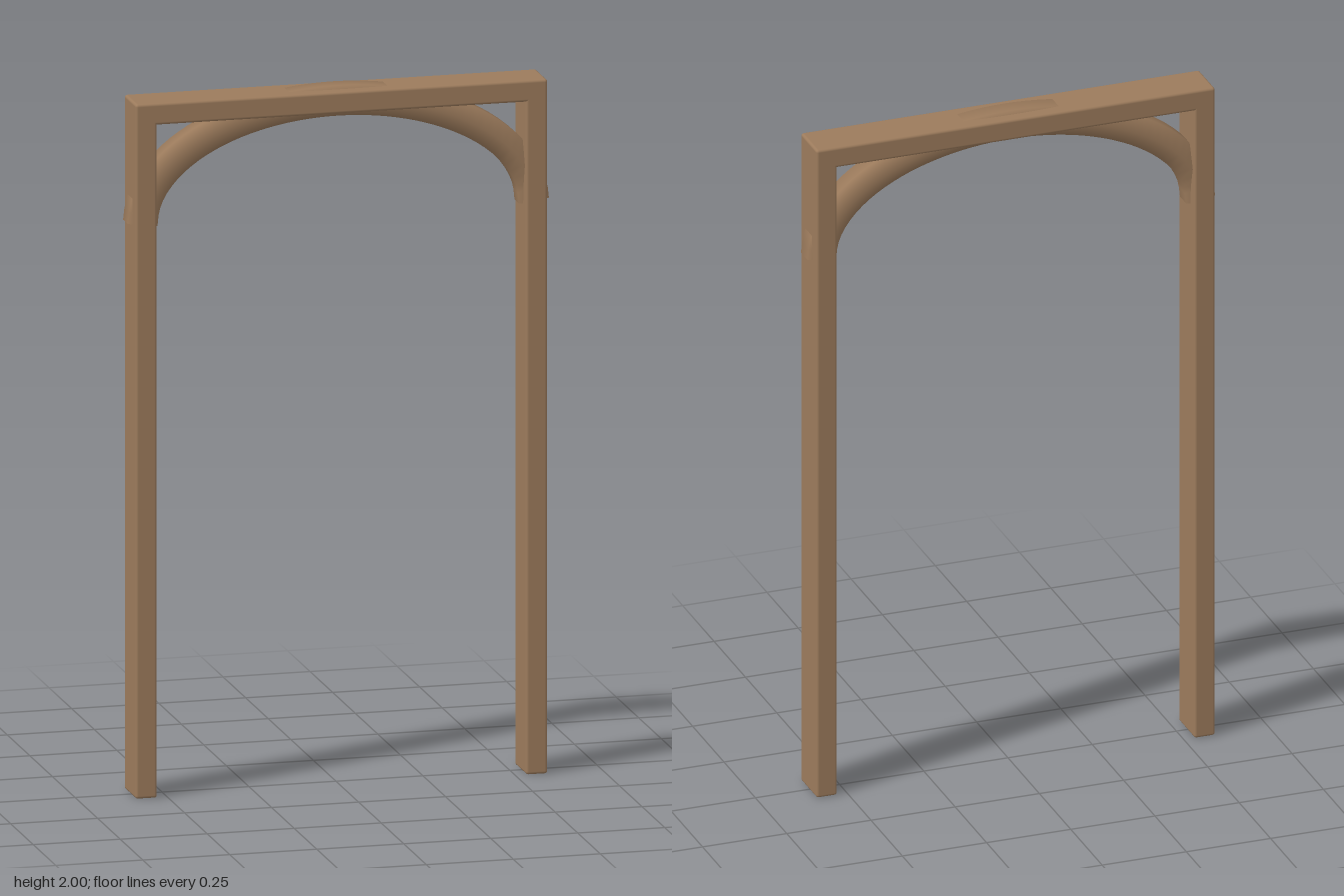
import * as THREE from 'three';
import { RoundedBoxGeometry } from 'three/addons/geometries/RoundedBoxGeometry.js';

export function createModel() {
  const group = new THREE.Group();
  group.name = 'doorFrame';
  const wood = new THREE.MeshStandardMaterial({ color: 0x9c7b5c });
  wood.name = 'wood';

  const halfWidth = 0.592, thickness = 0.062, depth = 0.128, height = 1.99, bevel = 0.008;

  function add(name, geometry, x = 0, y = 0) {
    const mesh = new THREE.Mesh(geometry, wood);
    mesh.name = name;
    mesh.position.set(x, y, 0);
    group.add(mesh);
  }

  // Two upright posts
  for (const [name, side] of [['leftPost', 1], ['rightPost', -1]]) {
    add(name, new RoundedBoxGeometry(thickness, height, depth, 2, bevel),
      side * (halfWidth - thickness / 2), height / 2);
  }

  // Lintel across the top, flush with the posts
  add('topBeam', new RoundedBoxGeometry(halfWidth * 2, thickness, depth, 2, bevel),
    0, height - thickness / 2);

  // Six-sided half-ellipse arch that pokes through the posts and the beam
  const points = [];
  const steps = 20;
  for (let i = 0; i <= steps; i++) {
    const a = Math.PI * (1 - i / steps);
    points.push(new THREE.Vector3(0.5625 * Math.cos(a), 1.635 + 0.3217 * Math.sin(a), 0));
  }
  add('arch', new THREE.TubeGeometry(new THREE.CatmullRomCurve3(points), 48, 0.05, 6, false));

  return group;
}
